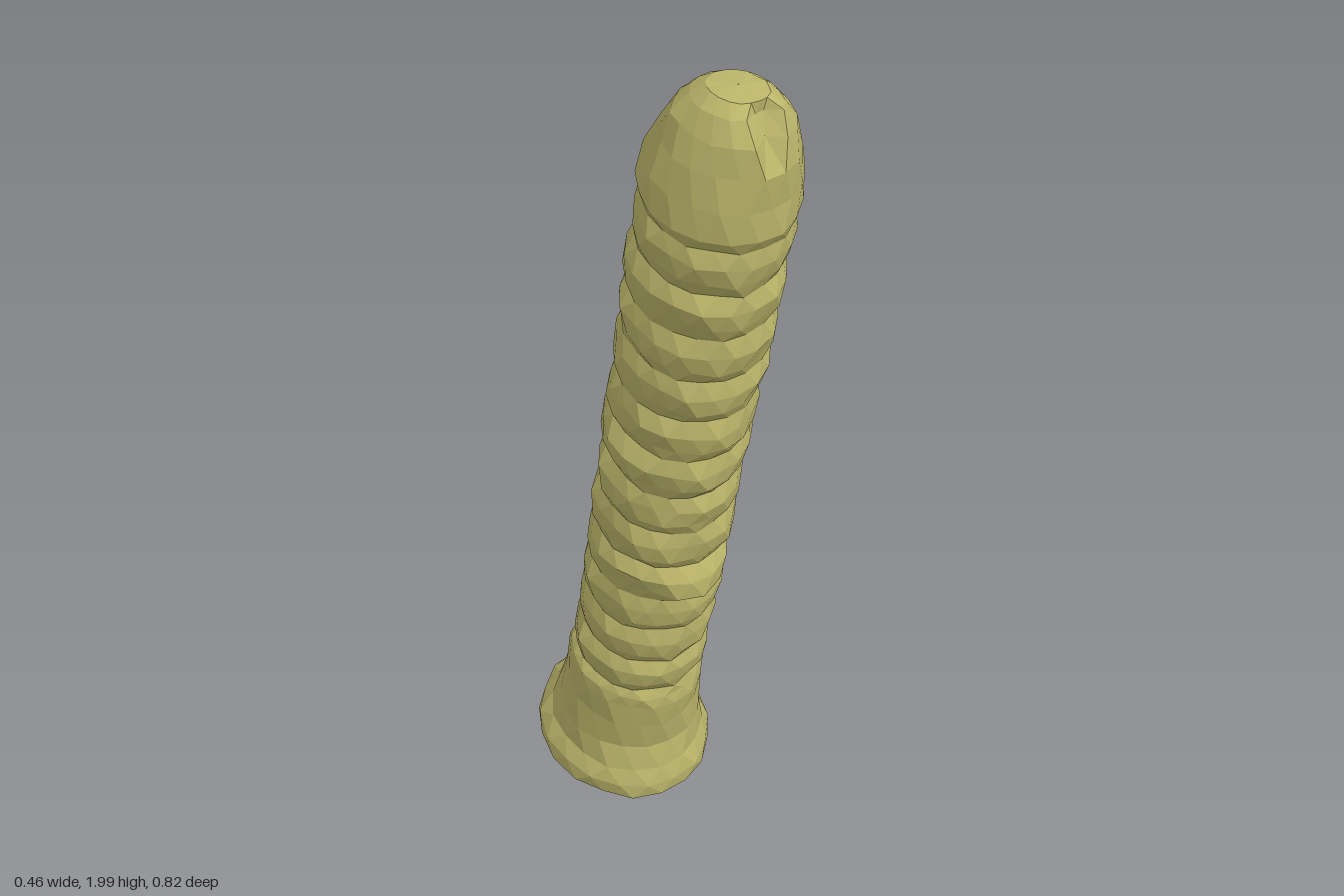
import * as THREE from 'three';

const SIDES = 18;

// Repeatable noise in -1..1
const noise = (i, j) => {
  const s = Math.sin(i * 127.1 + j * 311.7 + 4.2) * 43758.5453;
  return 2 * (s - Math.floor(s)) - 1;
};

// Leaning centre line of the shaft at a given height
const axisX = (y) => 0.035 - 0.068 * y;
const axisZ = (y) => -0.237 + 0.28 * y;

// Each ring: height, radius, lean of its plane, roughness, optional width factor
function makeRings() {
  const lean = 0.27;
  const rings = [];
  const add = (y, r, slope = lean, rough = 0.004, wide = 1) => rings.push({ y, r, slope, rough, wide });

  // bore in the base, from its closed end down to the mouth
  add(0.46, 0.001, lean, 0);
  add(0.45, 0.06);
  add(0.25, 0.08);
  add(0.1, 0.1);

  // flared lip and plain collar
  add(0.062, 0.115, lean, 0.006);
  add(0.055, 0.18, lean, 0.004, 0.96);
  add(0.075, 0.201, lean, 0.004, 0.95);
  add(0.11, 0.199, lean, 0.004, 0.95);
  add(0.15, 0.176, lean, 0.004, 0.97);
  add(0.21, 0.157);
  add(0.29, 0.149);
  add(0.355, 0.148);
  add(0.385, 0.142);

  // rounded ribs along the shaft
  const ribs = 12, pitch = 0.112;
  for (let k = 0; k < ribs; k++) {
    const y = 0.405 + k * pitch, s = lean + 0.04 * noise(k, 50);
    add(y, 0.132, s);
    add(y + pitch * 0.3, 0.143, s, 0.005);
    add(y + pitch * 0.68, 0.145, s, 0.005);
  }

  // rounded tip, levelling out towards the top
  add(1.745, 0.136);
  add(1.775, 0.145, 0.26);
  add(1.83, 0.138, 0.22);
  add(1.89, 0.126, 0.16, 0.004, 0.95);
  add(1.94, 0.108, 0.1, 0.004, 0.93);
  add(1.975, 0.086, 0.03, 0.003, 0.85);
  add(1.995, 0.06, 0, 0.002, 0.8);
  add(2, 0.001, 0, 0);
  return rings;
}

function ringPoints(ring, row) {
  const { y, r, slope, rough, wide } = ring;
  const c = 1 / Math.hypot(1, slope);
  const points = [];
  for (let i = 0; i < SIDES; i++) {
    const a = ((i + (row % 2) * 0.5) / SIDES) * Math.PI * 2;
    let radius = r + rough * noise(i, row);
    const front = Math.sin(a);
    // small knob on the front of the shaft
    if (r > 0.12) radius += 0.03 * Math.max(0, front) ** 8 * Math.exp(-(((y - 0.79) / 0.035) ** 2));
    // small pit at the front of the tip
    if (y > 1.93 && y < 1.98 && Math.abs(a - Math.PI / 2) < 0.18) radius -= 0.025;
    const d = radius * front * c;
    points.push(new THREE.Vector3(
      axisX(y) + radius * wide * Math.cos(a),
      y - d * slope + rough * 0.6 * noise(row, i + 90),
      axisZ(y) + d
    ));
  }
  return points;
}

// Joins successive rings with triangles
function loft(rows) {
  const verts = [];
  const tri = (...ps) => ps.forEach((p) => verts.push(p.x, p.y, p.z));
  for (let j = 0; j < rows.length - 1; j++) {
    const lo = rows[j], hi = rows[j + 1];
    for (let i = 0; i < SIDES; i++) {
      const n = (i + 1) % SIDES;
      if (j % 2) {
        tri(lo[i], hi[n], lo[n]);
        tri(lo[i], hi[i], hi[n]);
        // half-step rows pair with the next corner
      } else {
        tri(lo[i], hi[i], lo[n]);
        tri(lo[n], hi[i], hi[n]);
      }
    }
  }
  const geo = new THREE.BufferGeometry();
  geo.setAttribute('position', new THREE.Float32BufferAttribute(verts, 3));
  geo.computeVertexNormals();
  return geo;
}

export function createModel() {
  const group = new THREE.Group();
  group.name = 'ribbedTube';
  const material = new THREE.MeshStandardMaterial({ color: 0xbdb76b, flatShading: true });
  const shaft = new THREE.Mesh(loft(makeRings().map(ringPoints)), material);
  shaft.name = 'ribbedShaft';
  group.add(shaft);
  return group;
}
